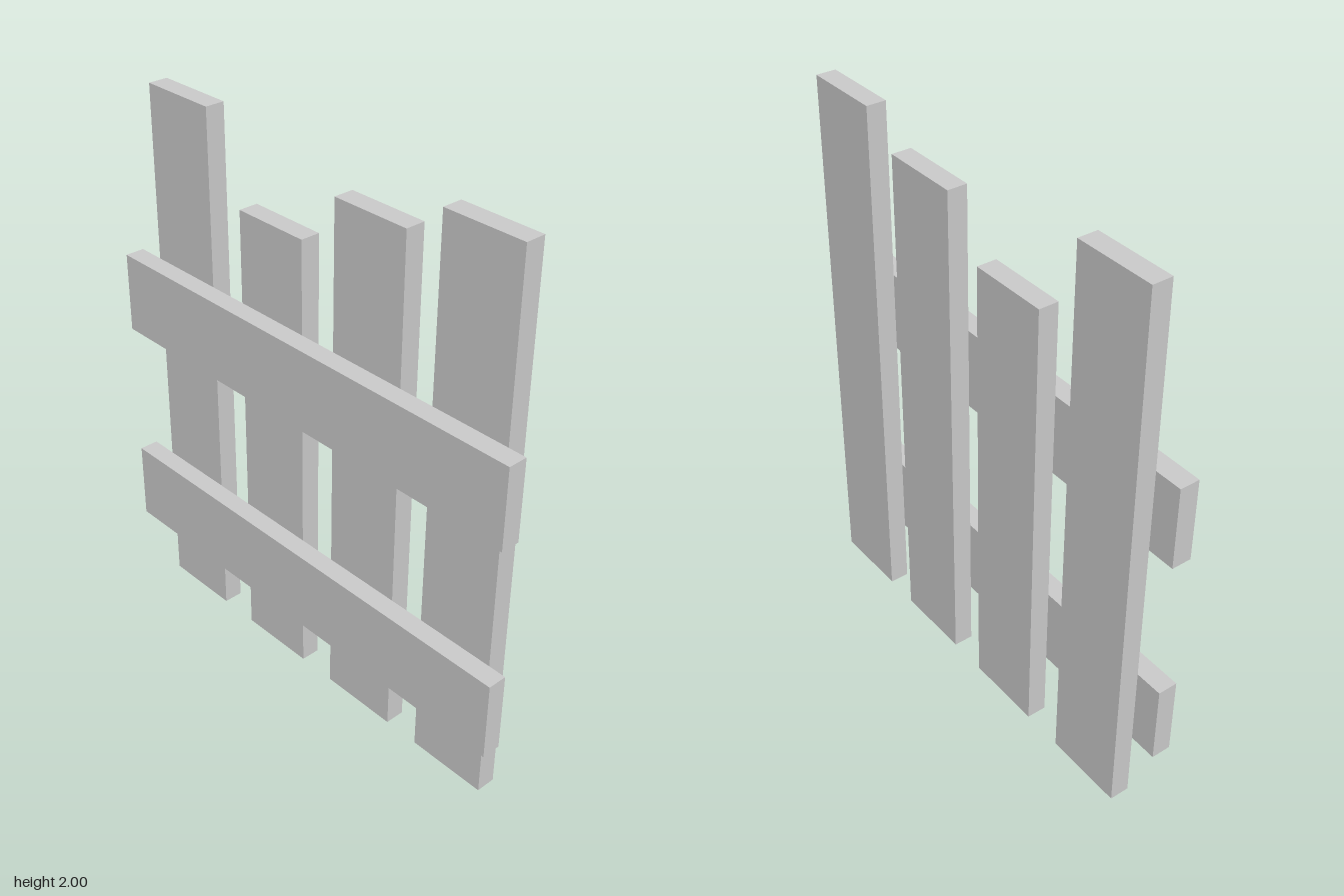
import * as THREE from 'three';

const material = new THREE.MeshStandardMaterial({ color: 0xcccccc, flatShading: true });

// Plank given by its lower and upper corners
function plank(name, [x0, y0, z0], [x1, y1, z1]) {
  const mesh = new THREE.Mesh(new THREE.BoxGeometry(x1 - x0, y1 - y0, z1 - z0), material);
  mesh.position.set((x0 + x1) / 2, (y0 + y1) / 2, (z0 + z1) / 2);
  mesh.name = name;
  return mesh;
}

export function createModel() {
  const fence = new THREE.Group();
  fence.name = 'fence';

  // Upright pickets behind the rails: [left edge x, height]
  const pickets = [[-0.795, 2], [-0.345, 1.7], [0.098, 1.89], [0.528, 2]];
  pickets.forEach(([x, height], i) => {
    fence.add(plank(`picket${i + 1}`, [x, 0, -0.072], [x + 0.297, height, 0]));
  });

  // Horizontal rails across the front
  fence.add(plank('lowerRail', [-0.895, 0.253, 0.001], [0.892, 0.55, 0.072]));
  fence.add(plank('upperRail', [-0.895, 1.071, 0.001], [0.892, 1.367, 0.072]));

  return fence;
}
